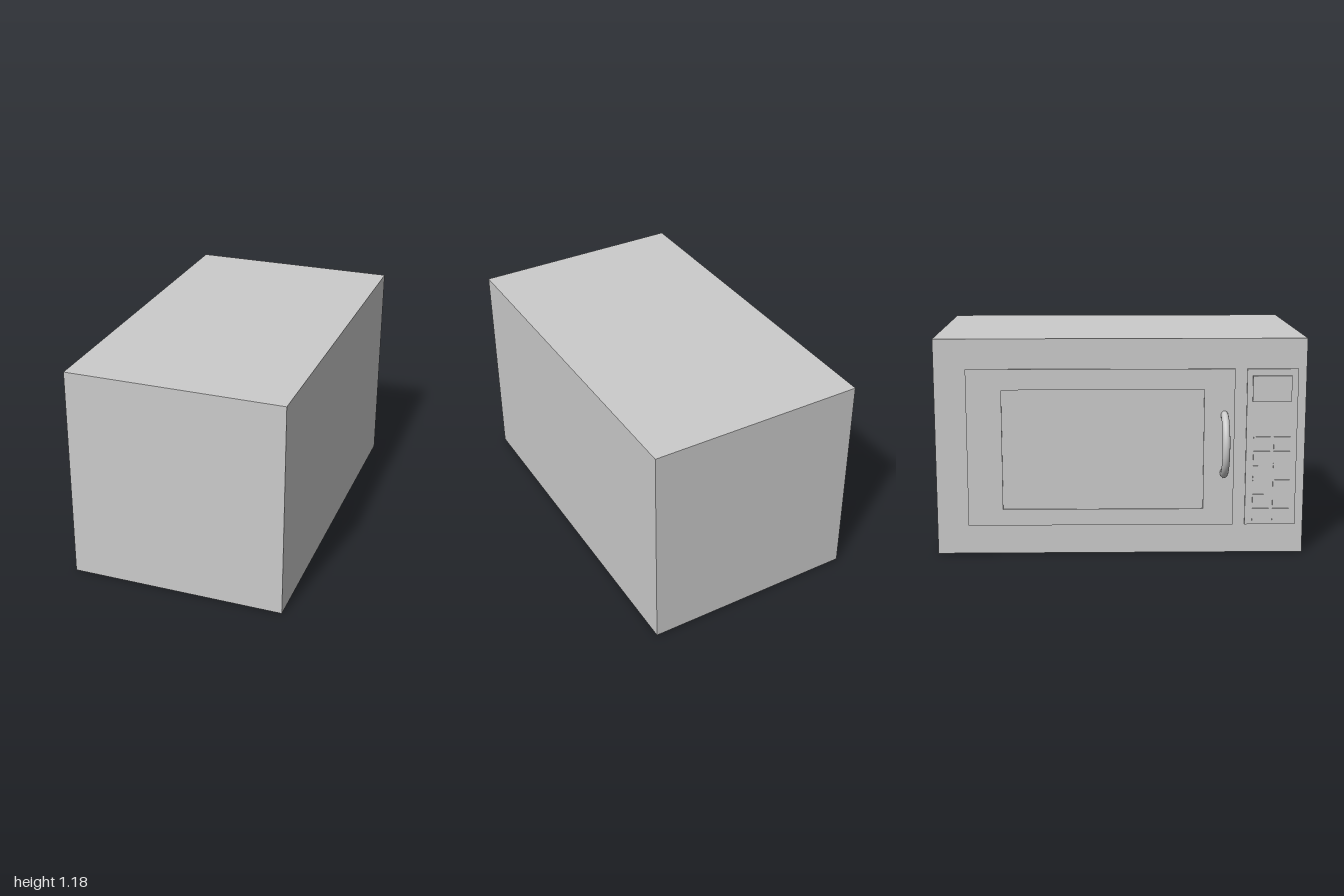
import * as THREE from 'three';

const FACE = -0.515; // plane of the cabinet's door side

export function createModel() {
  const group = new THREE.Group();
  const material = new THREE.MeshStandardMaterial({ color: 0xcccccc });

  const add = (name, geometry) => {
    const mesh = new THREE.Mesh(geometry, material);
    mesh.name = name;
    group.add(mesh);
    return mesh;
  };

  // Box given by its lower and upper corners
  const block = (name, [x0, y0, z0], [x1, y1, z1]) => {
    const mesh = add(name, new THREE.BoxGeometry(x1 - x0, y1 - y0, z1 - z0));
    mesh.position.set((x0 + x1) / 2, (y0 + y1) / 2, (z0 + z1) / 2);
    return mesh;
  };

  // Rectangle in the (z, y) plane
  const rectangle = (path, z0, y0, z1, y1) =>
    path.moveTo(z0, y0).lineTo(z1, y0).lineTo(z1, y1).lineTo(z0, y1).closePath();

  block('cabinet', [FACE, 0, -1], [0.665, 1.185, 1]);

  // Door frame around a recessed window
  const frame = rectangle(new THREE.Shape(), -0.83, 0.16, 0.615, 1.022);
  frame.holes.push(rectangle(new THREE.Path(), -0.64, 0.25, 0.45, 0.91));
  const door = add('doorFrame', new THREE.ExtrudeGeometry(frame, { depth: 0.01, bevelEnabled: false }));
  door.rotation.y = -Math.PI / 2;
  door.position.x = FACE;
  block('windowPane', [FACE - 0.002, 0.25, -0.64], [FACE, 0.91, 0.45]);

  // Half-ring handle, flattened towards the door
  const handle = add('doorHandle', new THREE.TorusGeometry(0.158, 0.0265, 20, 48, Math.PI));
  handle.geometry.rotateZ(Math.PI / 2);
  handle.scale.set(0.77, 1, 0.77);
  handle.position.set(FACE - 0.01, 0.61, 0.56);

  // Control panel with display and keypad
  block('controlPanel', [FACE - 0.01, 0.16, 0.68], [FACE, 1.022, 0.955]);
  block('display', [FACE - 0.02, 0.845, 0.71], [FACE - 0.01, 0.985, 0.92]);
  for (let row = 0; row < 6; row++) {
    for (const z of [0.72, 0.83]) {
      const y = 0.183 + row * 0.08;
      block('keypadButton', [FACE - 0.015, y, z], [FACE - 0.01, y + 0.068, z + 0.09]);
    }
  }

  return group;
}
